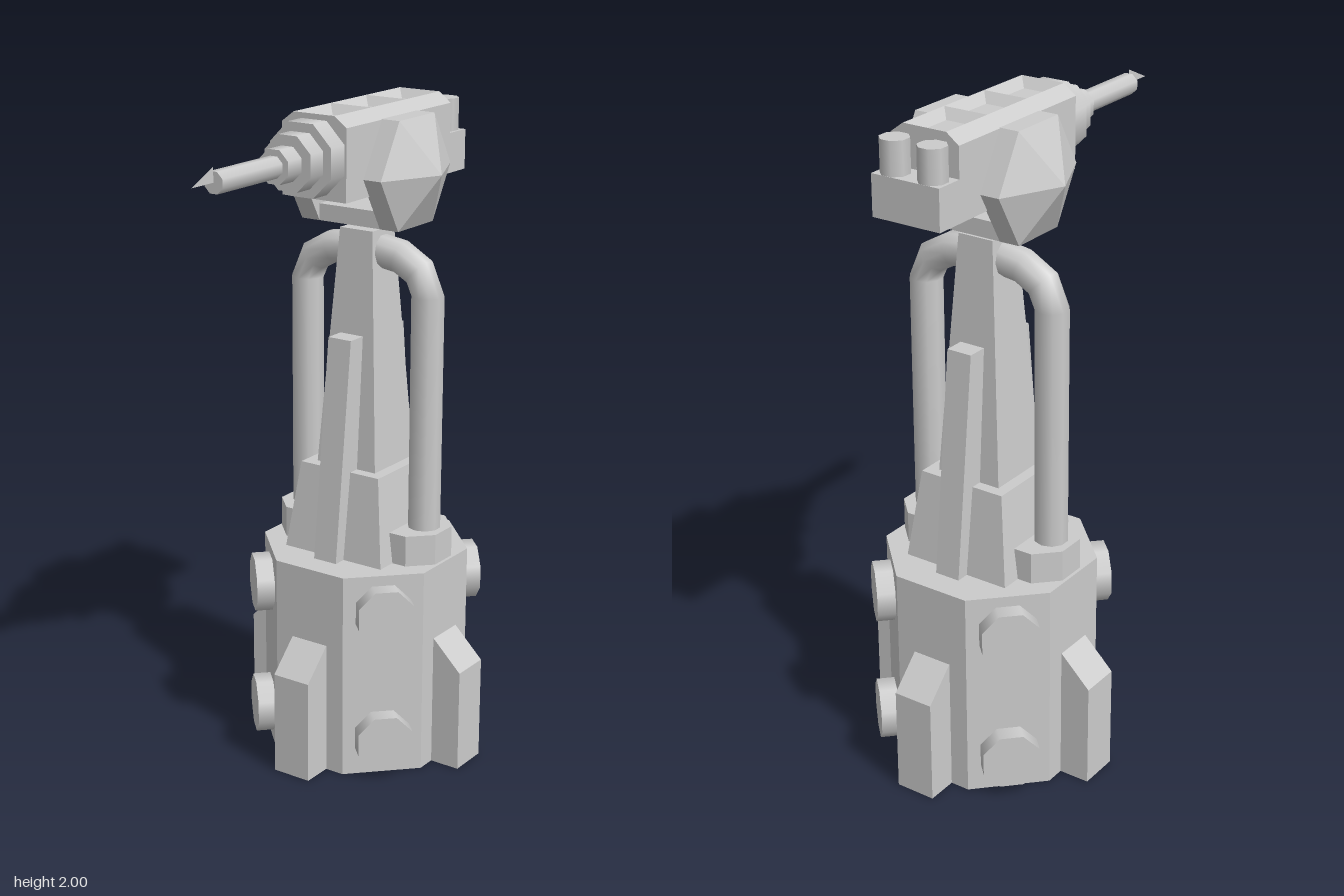
import * as THREE from 'three';

const flat = new THREE.MeshStandardMaterial({ color: 0xcccccc, flatShading: true });
const smooth = new THREE.MeshStandardMaterial({ color: 0xcccccc });
const thin = new THREE.MeshStandardMaterial({ color: 0xcccccc, side: THREE.DoubleSide });

// Closed solid through rectangular rings [x0, x1, y, z0, z1], bottom to top
function loft(rings) {
  const pos = [];
  const corners = rings.map(([x0, x1, y, z0, z1]) => [[x0, y, z1], [x1, y, z1], [x1, y, z0], [x0, y, z0]]);
  const quad = (a, b, c, d) => pos.push(...a, ...b, ...c, ...a, ...c, ...d);
  for (let r = 0; r < corners.length - 1; r++) {
    for (let i = 0; i < 4; i++) {
      const j = (i + 1) % 4;
      quad(corners[r][i], corners[r][j], corners[r + 1][j], corners[r + 1][i]);
    }
  }
  quad(...corners[corners.length - 1]);
  quad(...[...corners[0]].reverse());
  const geo = new THREE.BufferGeometry();
  geo.setAttribute('position', new THREE.Float32BufferAttribute(pos, 3));
  geo.computeVertexNormals();
  return geo;
}

const square = (h, y) => [-h, h, y, -h, h];
// Eight-sided cylinder with flats facing the axes, given by its apothem
const octagon = (apothem, h) => {
  const r = apothem / Math.cos(Math.PI / 8);
  return new THREE.CylinderGeometry(r, r, h, 8, 1, false, Math.PI / 8);
};

function add(parent, name, geo, mat, x = 0, y = 0, z = 0) {
  const mesh = new THREE.Mesh(geo, mat);
  mesh.name = name;
  mesh.position.set(x, y, z);
  parent.add(mesh);
  return mesh;
}

function createBase() {
  const base = new THREE.Group();
  base.name = 'base';
  add(base, 'drum', octagon(0.295, 0.645), flat, 0, 0.3225, 0);
  for (let i = 0; i < 4; i++) {
    // Sloped buttress on each main face
    const buttress = loft([[0.27, 0.39, 0, -0.0625, 0.0625], [0.27, 0.39, 0.32, -0.0625, 0.0625], [0.27, 0.296, 0.412, -0.0625, 0.0625]]);
    add(base, 'buttress', buttress, flat).rotation.y = i * Math.PI / 2;
    // Two round bolts on each diagonal face
    const side = new THREE.Group();
    side.name = 'boltPair';
    side.rotation.y = Math.PI / 4 + i * Math.PI / 2;
    for (const y of [0.12, 0.53]) {
      add(side, 'bolt', octagon(0.083, 0.1).rotateX(Math.PI / 2), smooth, 0, y, 0.299);
    }
    base.add(side);
  }
  return base;
}

function createTower() {
  const tower = new THREE.Group();
  tower.name = 'tower';
  add(tower, 'spire', loft([square(0.123, 0.64), square(0.057, 1.635)]), flat);
  add(tower, 'skirt', loft([square(0.175, 0.64), square(0.14, 0.915)]), flat);
  add(tower, 'ribs', loft([[-0.04, 0.04, 0.64, -0.215, 0.215], [-0.04, 0.04, 1.322, -0.14, 0.14]]), flat);
  // Pipes that rise beside the spire and bend into its top
  for (const s of [1, -1]) {
    add(tower, 'pipeCollar', octagon(0.11, 0.1), flat, s * 0.175, 0.69, 0);
    add(tower, 'pipe', new THREE.CylinderGeometry(0.05, 0.05, 0.75, 10, 1, true), smooth, s * 0.215, 1.08, 0);
    const bend = new THREE.CubicBezierCurve3(
      new THREE.Vector3(s * 0.215, 1.455, 0), new THREE.Vector3(s * 0.215, 1.52, 0),
      new THREE.Vector3(s * 0.145, 1.57, 0), new THREE.Vector3(s * 0.045, 1.57, 0));
    add(tower, 'pipeBend', new THREE.TubeGeometry(bend, 3, 0.05, 10), smooth);
  }
  return tower;
}

function createHead() {
  const head = new THREE.Group();
  head.name = 'head';
  // Housing, rear block and the row of recessed top panels
  add(head, 'housing', loft([[-0.11, 0.11, 1.76, -0.485, 0.055], [-0.11, 0.11, 1.97, -0.485, 0.055]]), flat);
  add(head, 'rearBlock', new THREE.BoxGeometry(0.22, 0.12, 0.1), flat, 0, 1.82, -0.522);
  for (let i = 0; i < 3; i++) {
    const z1 = 0.055 - i * 0.18, z0 = z1 - 0.18;
    add(head, 'topPanel', loft([[-0.11, 0.11, 1.97, z0, z1], [-0.07, 0.07, 2, z0, z1],
      [-0.045, 0.045, 1.972, z0 + 0.026, z1 - 0.026]]), flat);
  }
  for (const s of [1, -1]) {
    add(head, 'rearPost', octagon(0.039, 0.1), smooth, s * 0.061, 1.927, -0.532);
    // Hexagonal side pod with a pointed cap
    const pod = new THREE.CylinderGeometry(0.183, 0.183, 0.063, 6).rotateZ(-s * Math.PI / 2);
    add(head, 'sidePod', pod, flat, s * 0.1375, 1.813, -0.212);
    const cap = new THREE.ConeGeometry(0.183, 0.086, 6, 1, true).rotateZ(-s * Math.PI / 2);
    add(head, 'sidePodCap', cap, flat, s * 0.212, 1.813, -0.212);
  }
  add(head, 'lowerBridge', new THREE.BoxGeometry(0.22, 0.05, 0.184), flat, 0, 1.68, -0.212);
  // Stepped barrel: [apothem, back z, front z]
  const steps = [[0.104, 0.05, 0.12], [0.078, 0.12, 0.18], [0.048, 0.18, 0.243], [0.03, 0.243, 0.507]];
  for (const [r, z0, z1] of steps) {
    add(head, 'barrelStep', octagon(r, z1 - z0).rotateX(Math.PI / 2), smooth, 0, 1.88, (z0 + z1) / 2);
  }
  // Thin blade at the muzzle
  const blade = new THREE.Shape([[-0.6, 1.88], [-0.507, 1.88], [-0.507, 1.922]].map(p => new THREE.Vector2(...p)));
  add(head, 'muzzleBlade', new THREE.ShapeGeometry(blade).rotateY(Math.PI / 2), thin);
  return head;
}

export function createModel() {
  const model = new THREE.Group();
  model.name = 'drillTurret';
  const base = createBase(), tower = createTower();
  base.position.z = tower.position.z = -0.212;
  model.add(base, tower, createHead());
  return model;
}
